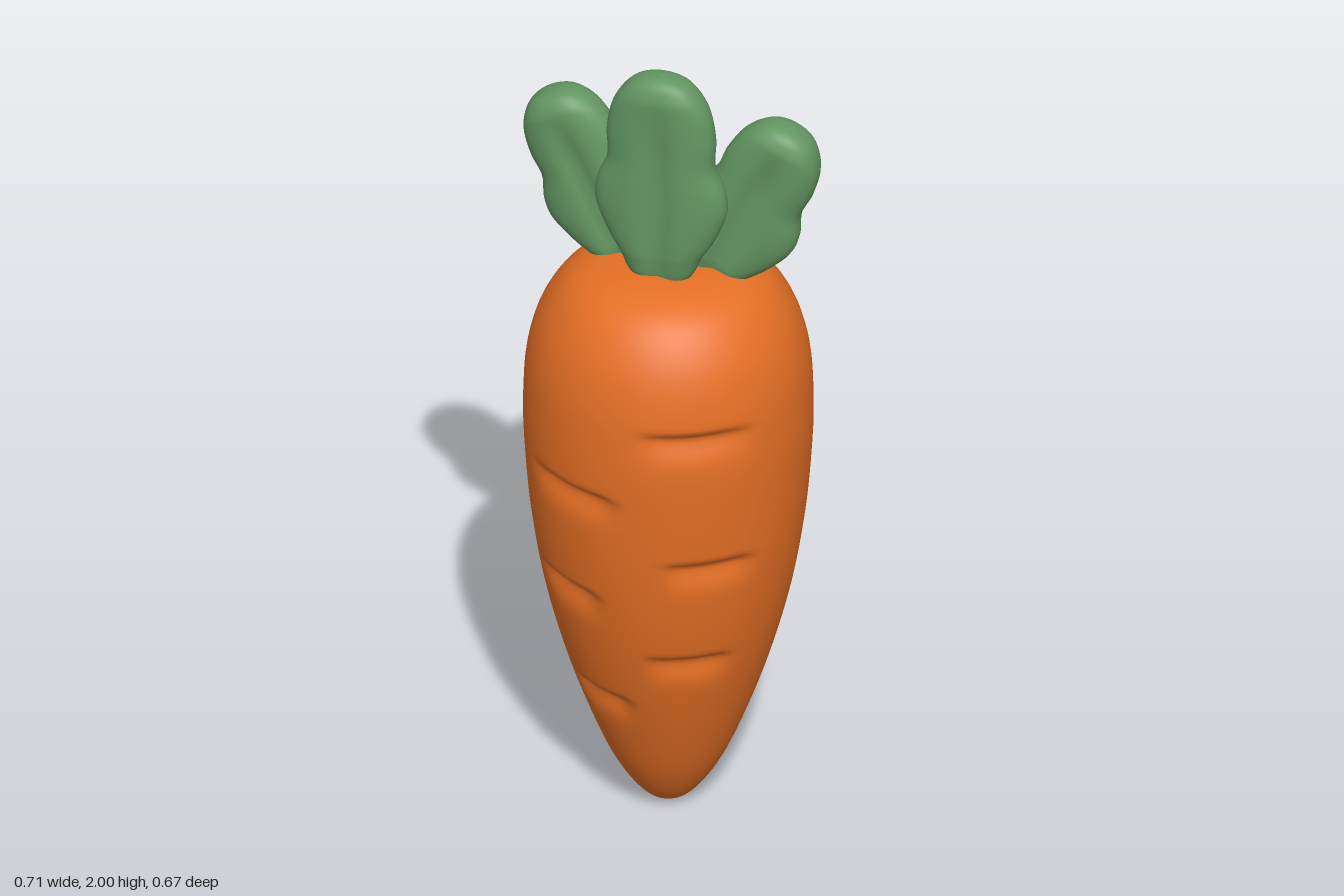
import * as THREE from 'three';
import { mergeVertices } from 'three/addons/utils/BufferGeometryUtils.js';

const v2 = ([x, y]) => new THREE.Vector2(x, y);

// Short creases in the skin: height, centre angle from the front, half angle
const CREASES = [
  [1.17, 0.5, 0.42], [0.81, 0.62, 0.35], [0.525, 0.5, 0.38],
  [0.985, -0.45, 0.38], [0.695, -0.58, 0.33], [0.38, -0.52, 0.45],
];

// Root: a turned profile with creases pressed in along the front
function rootGeometry() {
  const profile = new THREE.SplineCurve([
    [0, 0.005], [0.05, 0.022], [0.105, 0.09], [0.16, 0.2], [0.232, 0.4], [0.285, 0.6],
    [0.318, 0.8], [0.334, 1.0], [0.335, 1.12], [0.326, 1.23], [0.297, 1.33],
    [0.245, 1.41], [0.18, 1.452], [0.1, 1.468], [0, 1.47],
  ].map(v2));
  const points = profile.getSpacedPoints(180);
  points[0].x = points[180].x = 0;
  let geo = new THREE.LatheGeometry(points, 72, Math.PI);
  geo.deleteAttribute('uv');
  geo.deleteAttribute('normal');
  geo = mergeVertices(geo, 1e-5);
  const pos = geo.attributes.position;
  for (let i = 0; i < pos.count; i++) {
    const x = pos.getX(i), y = pos.getY(i), z = pos.getZ(i);
    const r = Math.hypot(x, z), angle = Math.atan2(x, z);
    if (r < 0.01) continue;
    let dent = 0;
    for (const [cy, ca, half] of CREASES) {
      const across = Math.abs(angle - ca) / half;
      if (across >= 1) continue;
      // Sharp lip above, slow fade below
      const dy = y - cy;
      const fall = Math.exp(-((dy / (dy > 0 ? 0.012 : 0.045)) ** 2));
      dent += 0.02 * fall * (1 - across ** 4);
    }
    const k = (r - dent) / r;
    pos.setXYZ(i, x * k, y, z * k);
  }
  geo.computeVertexNormals();
  return geo;
}

// Leaf: thick lobed blade with a midrib groove on both faces, standing on y = 0
function leafGeometry() {
  const outline = new THREE.SplineCurve([
    [0, 0], [0.05, 0.006], [0.078, 0.03], [0.098, 0.075], [0.128, 0.125], [0.157, 0.2],
    [0.154, 0.26], [0.129, 0.325], [0.13, 0.4], [0.115, 0.475], [0.078, 0.53],
    [0.04, 0.551], [0, 0.557],
  ].map(v2));
  const rings = 60, sides = 40, verts = [], index = [];
  for (let i = 0; i <= rings; i++) {
    const p = outline.getPointAt(i / rings);
    const w = Math.max(p.x, 0.0005);
    const h = 0.056 * Math.min(1, w / 0.1) ** 0.7;
    const groove = 0.28 * THREE.MathUtils.smoothstep(0.54 - p.y, 0, 0.2);
    for (let j = 0; j < sides; j++) {
      const a = (j / sides) * Math.PI * 2, c = Math.cos(a), s = Math.sin(a);
      const x = w * Math.sign(c) * Math.abs(c) ** 0.9;
      const z = h * Math.sign(s) * Math.abs(s) ** 0.8;
      verts.push(x, p.y, z * (1 - groove * Math.exp(-((x / 0.03) ** 2))));
      if (i < rings) {
        const n = (j + 1) % sides, b = i * sides, t = b + sides;
        index.push(b + j, t + j, b + n, b + n, t + j, t + n);
      }
    }
  }
  const geo = new THREE.BufferGeometry();
  geo.setAttribute('position', new THREE.Float32BufferAttribute(verts, 3));
  geo.setIndex(index);
  geo.computeVertexNormals();
  return geo;
}

export function createModel() {
  const orange = new THREE.MeshStandardMaterial({ name: 'orange', color: 0xe56f25 });
  const green = new THREE.MeshStandardMaterial({ name: 'leafGreen', color: 0x639663 });
  const model = new THREE.Group();
  model.name = 'carrot';

  const root = new THREE.Mesh(rootGeometry(), orange);
  root.name = 'root';
  model.add(root);

  // Tall front leaf, with a shorter one leaning out behind it on each side
  const leaf = leafGeometry();
  const addLeaf = (name, x, y, z, lean, scale, depth) => {
    const mesh = new THREE.Mesh(leaf, green);
    mesh.name = name;
    mesh.position.set(x, y, z);
    mesh.rotation.z = lean;
    mesh.scale.set(scale, scale, depth);
    model.add(mesh);
  };
  addLeaf('frontLeaf', 0, 1.443, 0.053, 0, 1, 1);
  for (const side of [1, -1]) {
    addLeaf(side > 0 ? 'leftLeaf' : 'rightLeaf', side * 0.09, 1.42, -0.029, -side * 0.44, 0.87, 1.08);
  }
  return model;
}
